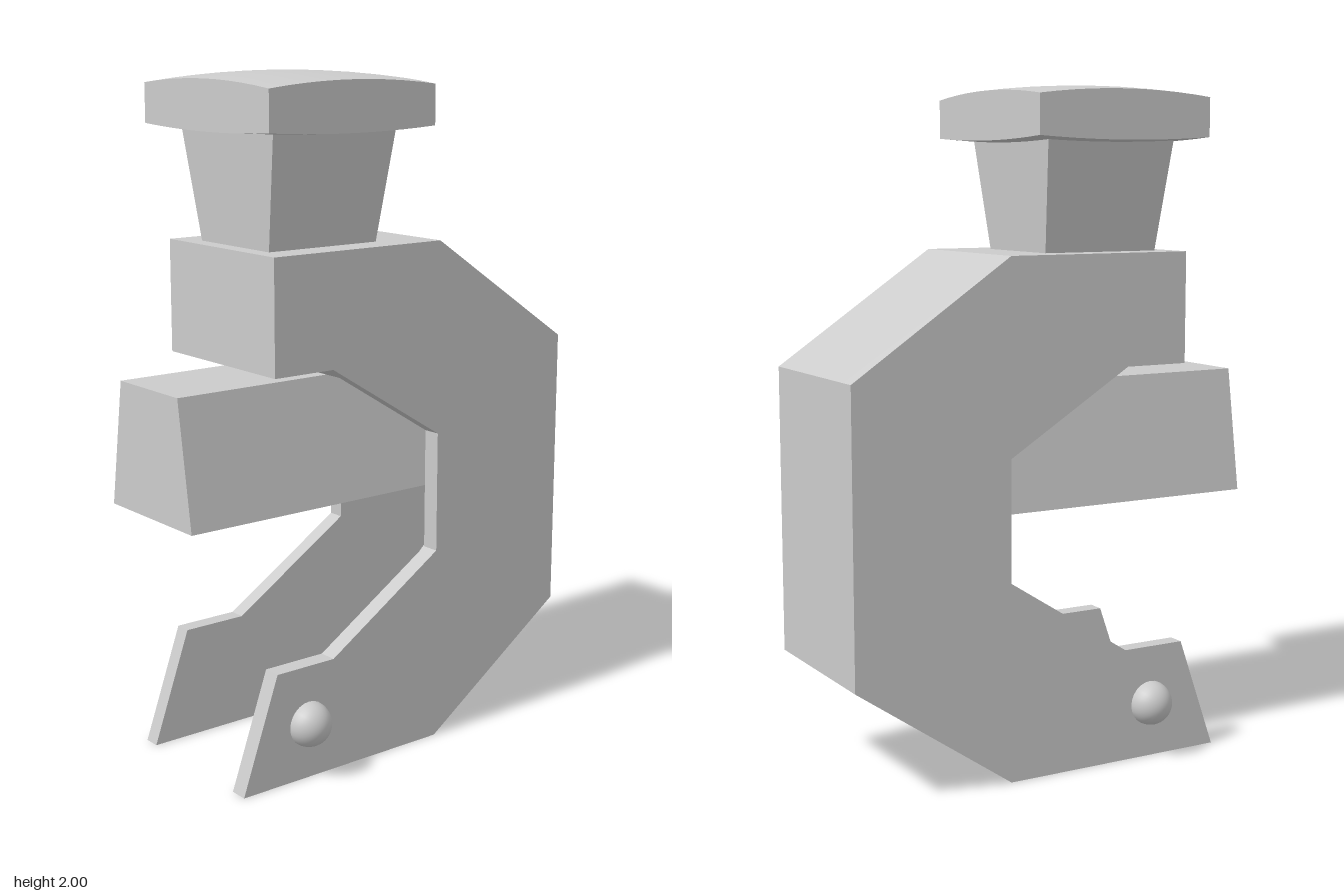
import * as THREE from 'three';

const material = new THREE.MeshStandardMaterial({ color: 0xcccccc });

// Side profile given as [z, y] points, extruded from x0 to x1
function slab(points, x0, x1) {
  const shape = new THREE.Shape(points.map(([z, y]) => new THREE.Vector2(z, y)));
  const geo = new THREE.ExtrudeGeometry(shape, { depth: x1 - x0, bevelEnabled: false });
  geo.rotateY(-Math.PI / 2);
  geo.translate(x1, 0, 0);
  return geo;
}

// Box whose width and depth change from bottom to top
function taperedBox(bottomW, bottomD, topW, topD, height) {
  const geo = new THREE.BoxGeometry(1, height, 1);
  const p = geo.attributes.position;
  for (let i = 0; i < p.count; i++) {
    const top = p.getY(i) > 0;
    p.setX(i, p.getX(i) * (top ? topW : bottomW));
    p.setZ(i, p.getZ(i) * (top ? topD : bottomD));
  }
  geo.computeVertexNormals();
  return geo;
}

// Square cap with gently bulging top and underside
function pillowCap(w, d) {
  const geo = new THREE.BoxGeometry(w, 1, d, 10, 1, 10);
  const p = geo.attributes.position;
  for (let i = 0; i < p.count; i++) {
    const u = p.getX(i) / (w / 2), v = p.getZ(i) / (d / 2);
    const r = u * u + v * v;
    p.setY(i, p.getY(i) > 0 ? 2 - 0.018 * r : 1.83 + 0.01 * r);
  }
  geo.computeVertexNormals();
  return geo;
}

export function createModel() {
  const model = new THREE.Group();
  const add = (name, geo, x = 0, y = 0, z = 0) => {
    const mesh = new THREE.Mesh(geo, material);
    mesh.name = name;
    mesh.position.set(x, y, z);
    model.add(mesh);
    return mesh;
  };

  // C-shaped cheeks on both sides
  const cheek = [
    [0.42, 1.52], [-0.17, 1.52], [-0.66, 1.19], [-0.66, 0.34], [-0.17, 0], [0.54, 0],
    [0.42, 0.34], [0.22, 0.34], [-0.17, 0.59], [-0.17, 0.95], [0.22, 1.19], [0.42, 1.19],
  ];
  add('leftCheek', slab(cheek, 0.2, 0.255));
  add('rightCheek', slab(cheek, -0.255, -0.205));

  // Spine between the cheeks, leaving the slot open to the front and below
  const spine = [
    [0.42, 1.52], [-0.17, 1.52], [-0.66, 1.19], [-0.66, 0.34], [-0.17, 0], [-0.14, 0],
    [-0.14, 0.055], [-0.58, 0.48], [-0.58, 1.07], [0.155, 1.15], [0.22, 1.19], [0.42, 1.19],
  ];
  add('spine', slab(spine, -0.205, 0.2));

  // Sliding jaw bar held in the slot
  add('jawBar', taperedBox(0.404, 1.24, 0.29, 1.24, 0.37), -0.005, 0.965, 0.04);

  // Domed pins on the lower arms
  for (const s of [1, -1]) {
    const dome = new THREE.SphereGeometry(0.067, 24, 12, 0, Math.PI * 2, 0, Math.PI / 2);
    dome.rotateZ(-s * Math.PI / 2);
    add(s > 0 ? 'leftPin' : 'rightPin', dome, s * 0.255, 0.165, 0.31);
  }

  // Flared stem and cap on top
  add('stem', taperedBox(0.325, 0.375, 0.44, 0.425, 0.325), 0, 1.68, 0.182);
  add('cap', pillowCap(0.6, 0.57), 0, 0, 0.18);

  return model;
}
